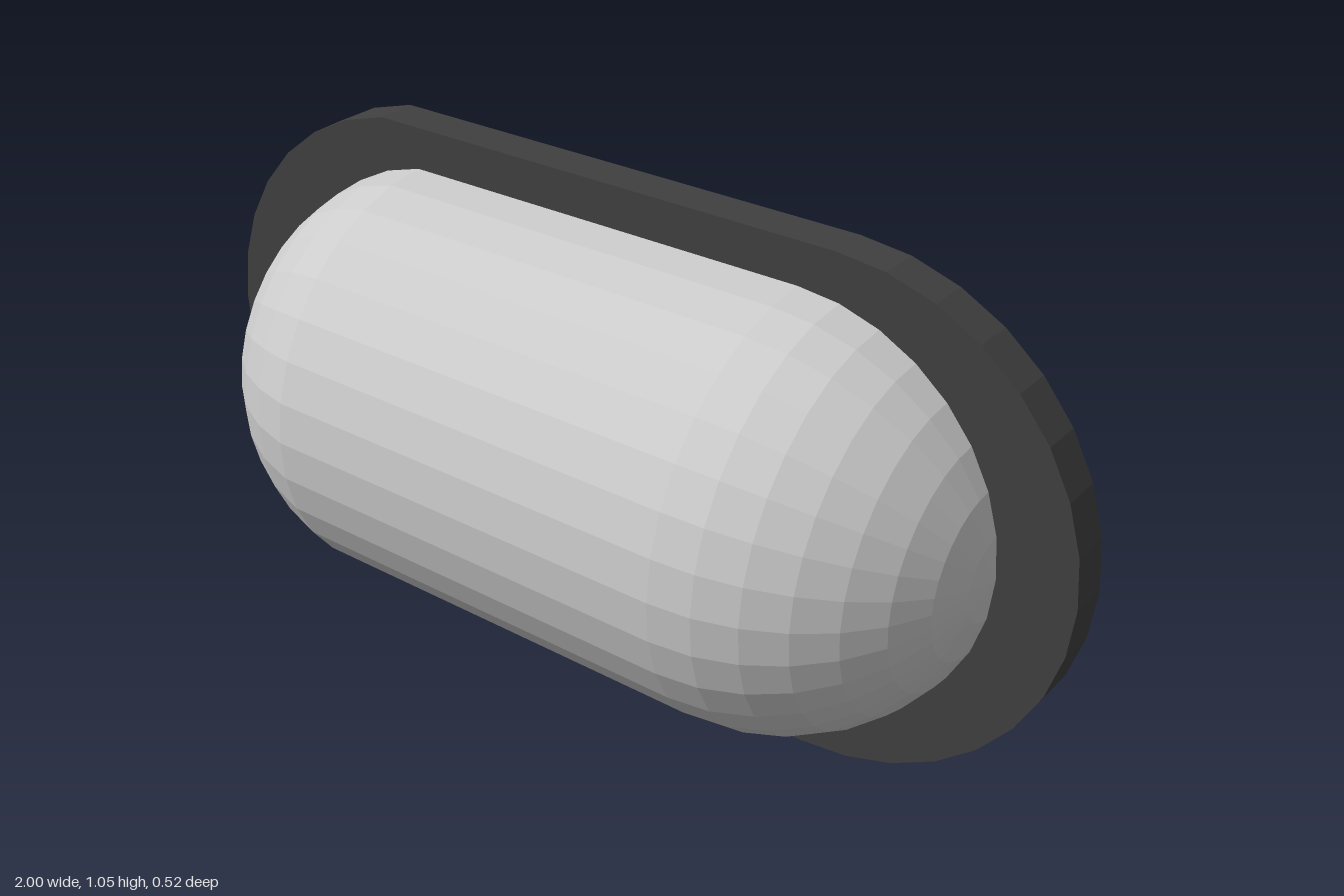
import * as THREE from 'three';

const STEP = Math.PI / 16; // 32-sided roundness throughout

export function createModel() {
  const model = new THREE.Group();
  const centreY = 0.527;

  // Backplate: stadium whose left arc skips its two tangent points
  const radius = 0.527, offset = 0.473;
  const outline = [];
  for (let i = -8; i <= 23; i++) {
    if (i === 8) outline.push(new THREE.Vector2(offset, radius));
    else if (i !== 24) {
      const side = i < 8 ? offset : -offset;
      outline.push(new THREE.Vector2(side + radius * Math.cos(i * STEP), radius * Math.sin(i * STEP)));
    }
  }
  const plate = new THREE.Mesh(
    new THREE.ExtrudeGeometry(new THREE.Shape(outline), { depth: 0.085, bevelEnabled: false }),
    new THREE.MeshStandardMaterial({ color: 0x404040, flatShading: true })
  );
  plate.name = 'backplate';
  plate.position.set(0, centreY, -0.26);
  model.add(plate);

  // Cover: half of a capsule lying along x, open at the back
  const r = 0.44, profile = [];
  for (let i = 0; i <= 7; i++) {
    profile.push(new THREE.Vector2(r * Math.sin(i * STEP), -0.397 - r * Math.cos(i * STEP)));
  }
  for (let i = 8; i >= 0; i--) {
    profile.push(new THREE.Vector2(r * Math.sin(i * STEP), 0.403 + r * Math.cos(i * STEP)));
  }
  const coverGeometry = new THREE.LatheGeometry(profile, 16, -Math.PI / 2, Math.PI);
  coverGeometry.rotateZ(-Math.PI / 2);
  const cover = new THREE.Mesh(
    coverGeometry,
    new THREE.MeshStandardMaterial({ color: 0xcccccc, flatShading: true, side: THREE.DoubleSide })
  );
  cover.name = 'domedCover';
  cover.position.set(0, centreY, -0.178);
  model.add(cover);

  return model;
}
